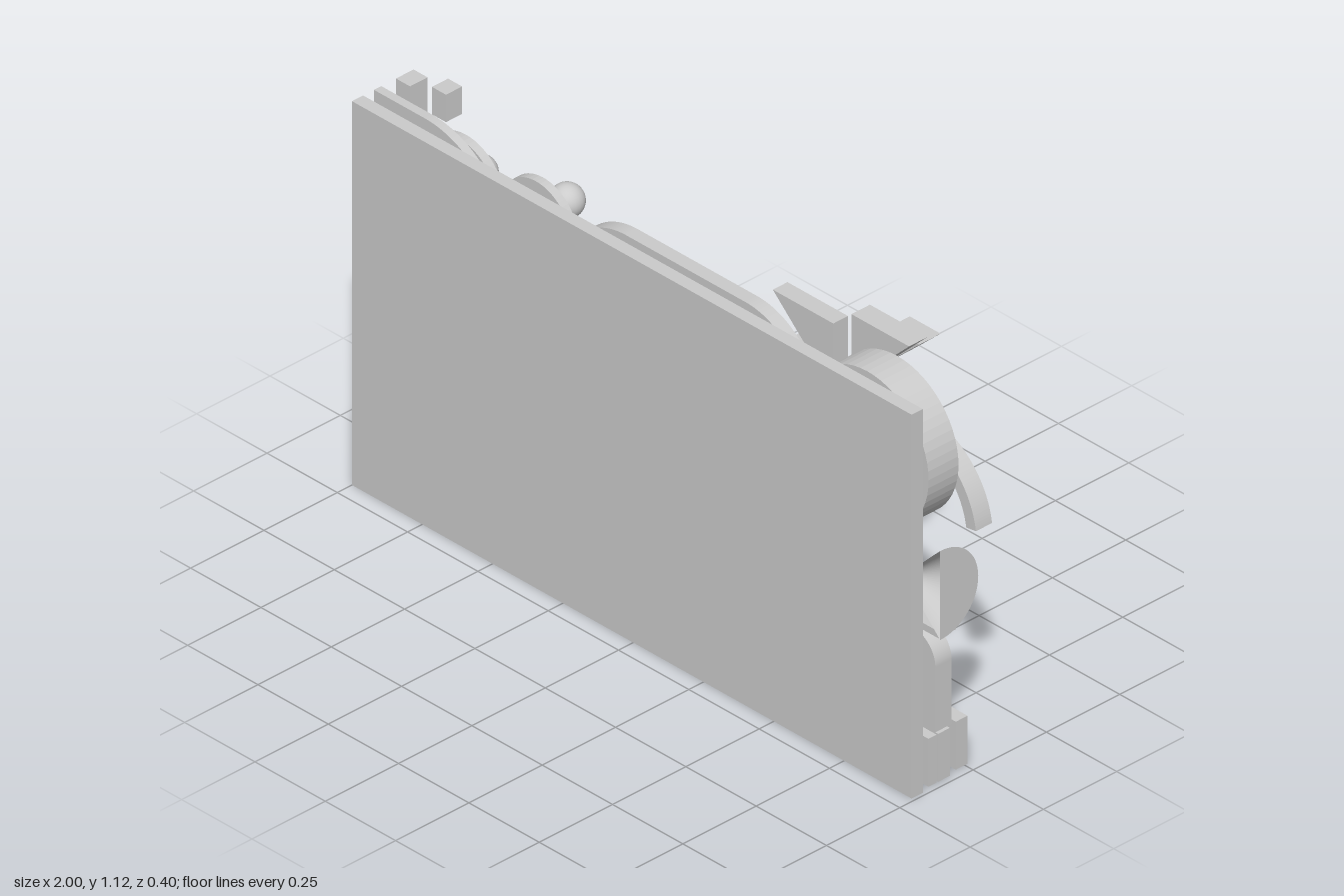
import * as THREE from 'three';

const material = new THREE.MeshStandardMaterial({ color: 0xcccccc, side: THREE.DoubleSide });

export function createModel() {
  const group = new THREE.Group();

  const add = (name, geometry, x = 0, y = 0, z = 0) => {
    const mesh = new THREE.Mesh(geometry, material);
    mesh.name = name;
    mesh.position.set(x, y, z);
    group.add(mesh);
    return mesh;
  };
  // Flat shape given depth from z0 to z1
  const plate = (name, shape, z0, z1) =>
    add(name, new THREE.ExtrudeGeometry(shape, { depth: z1 - z0, bevelEnabled: false, curveSegments: 28 }), 0, 0, z0);
  const box = (name, x0, x1, y0, y1, z0, z1) =>
    add(name, new THREE.BoxGeometry(x1 - x0, y1 - y0, z1 - z0), (x0 + x1) / 2, (y0 + y1) / 2, (z0 + z1) / 2);
  const ball = (name, x, y, z, r) => add(name, new THREE.SphereGeometry(r, 24, 16), x, y, z);
  const polygon = (...points) => new THREE.Shape(points.map(([x, y]) => new THREE.Vector2(x, y)));
  const circle = (x, y, r) => new THREE.Shape().absarc(x, y, r, 0, Math.PI * 2);
  // Circle cut flat at the ground
  const cutCircle = (x, y, r) => {
    const a = Math.asin(y / r);
    const s = new THREE.Shape().absarc(x, y, r, -a, Math.PI + a);
    s.closePath();
    return s;
  };
  // Rectangle with its own radius at each corner: bottom left, bottom right, top right, top left
  const rounded = (x0, x1, y0, y1, bl, br, tr, tl) => {
    const s = new THREE.Shape();
    const corner = (x, y, r, a) => (r ? s.absarc(x, y, r, a, a + Math.PI / 2) : s.lineTo(x, y));
    s.moveTo(x0, y0 + bl);
    corner(x0 + bl, y0 + bl, bl, Math.PI);
    corner(x1 - br, y0 + br, br, Math.PI * 1.5);
    corner(x1 - tr, y1 - tr, tr, 0);
    corner(x0 + tl, y1 - tl, tl, Math.PI / 2);
    s.closePath();
    return s;
  };
  // Curved band between two radii
  const band = (x, y, r0, r1, a0, a1) => {
    const s = new THREE.Shape().absarc(x, y, r1, a0, a1);
    s.absarc(x, y, r0, a1, a0, true);
    s.closePath();
    return s;
  };

  // Backing panel
  box('backingPanel', -1, 0.99, 0, 1.12, 0.162, 0.2);

  // Long rounded cloud with two hanging curves
  plate('cloud', rounded(-0.31, 0.555, 0.68, 1.12, 0.2, 0.2, 0.22, 0.22), 0.098, 0.138);
  for (const r of [0.16, 0.285])
    plate('hangingCurve', band(0.14, 1.1, r - 0.012, r + 0.012, Math.PI * 1.25, Math.PI * 1.75), 0.065, 0.098);

  // Large disc, arc and triangles
  plate('largeDiscBack', circle(0.772, 0.903, 0.218), 0.098, 0.142);
  plate('largeDiscFront', circle(0.772, 0.903, 0.218), 0.04, 0.098);
  plate('outerArc', band(0.75, 0.655, 0.215, 0.25, 0.14, 1.68), -0.067, -0.012);
  plate('largeTriangle', polygon([0.555, 0.92], [0.76, 1.12], [0.555, 1.12]), -0.075, -0.012);
  plate('smallTriangle', polygon([0.605, 0.97], [0.715, 1.07], [0.605, 1.07]), -0.163, -0.09);
  plate('sideTriangle', polygon([0.555, 0.92], [0.555, 1.12], [0.34, 1.12]), 0, 0.05);

  // Half cone on its side
  const cone = add('halfCone', new THREE.ConeGeometry(0.13, 0.13, 32, 1, false, Math.PI / 2, Math.PI), 0.92, 0.545, 0.098);
  cone.rotation.z = Math.PI / 2;

  // Round target with a ball
  plate('targetDisc', circle(0.72, 0.575, 0.11), 0.06, 0.09);
  const ring = circle(0.72, 0.58, 0.075);
  ring.holes.push(circle(0.72, 0.58, 0.045));
  plate('targetRing', ring, 0.025, 0.06);
  ball('targetBall', 0.735, 0.59, 0, 0.03);

  // Pillar with blocks beside it
  box('pillar', 0.37, 0.48, 0.41, 0.98, -0.03, 0.08);
  box('pillarBlock', 0.48, 0.63, 0.47, 0.66, 0.02, 0.09);
  box('shelf', 0.6, 0.97, 0.41, 0.43, 0.03, 0.09);
  box('pillarPlate', 0.18, 0.31, 0, 0.6, 0.065, 0.09);

  // Split hill: a tall quarter in one layer, a short quarter in front
  const tall = new THREE.Shape().moveTo(0.12, 0);
  tall.lineTo(0.12, 0.685);
  tall.absarc(0.12, 0.255, 0.43, Math.PI / 2, Math.PI);
  tall.lineTo(-0.31, 0);
  tall.closePath();
  plate('tallQuarterHill', tall, -0.012, 0.018);
  const cut = Math.asin(0.155 / 0.43);
  const short = new THREE.Shape().moveTo(0.12, 0.41);
  short.absarc(0.12, 0.255, 0.43, cut, Math.PI / 2);
  short.closePath();
  plate('shortQuarterHill', short, -0.055, -0.015);
  plate('frontHill', rounded(-0.31, 0.12, 0, 0.41, 0, 0, 0.21, 0.21), -0.07, -0.025);
  plate('roundHill', cutCircle(0.47, 0.18, 0.23), -0.01, 0.045);

  // Low bar with rounded ends, cut at the ground
  const low = Math.asin(0.4);
  const bar = new THREE.Shape().absarc(0.315, 0.04, 0.1, -low, Math.PI / 2);
  bar.absarc(-0.05, 0.04, 0.1, Math.PI / 2, Math.PI + low);
  bar.closePath();
  plate('lowBar', bar, -0.135, -0.09);

  // Arch, low block and bushes
  plate('arch', rounded(0.81, 0.97, 0.14, 0.41, 0, 0, 0.08, 0.08), 0.045, 0.1);
  plate('lowBlock', rounded(0.82, 0.97, 0, 0.14, 0, 0, 0, 0.08), -0.01, 0.03);
  box('basePlinth', 0.2, 0.98, 0, 0.14, 0.06, 0.1);
  box('baseBack', 0.2, 0.98, 0, 0.14, 0.105, 0.133);
  for (const x of [0.74, 0.57]) plate('bush', cutCircle(x, 0.01, 0.1), -0.045, -0.012);

  // Row of ground domes
  for (const [x, z] of [[0.283, -0.145], [0.47, -0.085], [0.58, -0.06], [0.715, -0.105], [0.81, -0.06]]) {
    add('dome', new THREE.SphereGeometry(0.055, 24, 10, 0, Math.PI * 2, 0, Math.PI / 2), x, 0, z);
    const base = add('domeBase', new THREE.CircleGeometry(0.055, 24), x, 0, z);
    base.rotation.x = Math.PI / 2;
  }

  // Long band with a row of balls
  plate('longBand', rounded(-0.77, 0.16, 0.6, 0.81, 0, 0.1, 0.1, 0.05), 0.065, 0.09);
  for (let i = 0; i < 4; i++) ball('rowBall', -0.05 - 0.2 * i, 0.62, 0.08, 0.065);

  // Wide round-ended plate with an oval and balls
  plate('widePlate', rounded(-0.77, 0.15, 0, 0.56, 0.28, 0, 0, 0.28), 0.055, 0.09);
  plate('oval', rounded(-0.63, -0.15, 0.14, 0.43, 0.145, 0.145, 0.145, 0.145), 0.045, 0.055);
  ball('ovalBall', -0.43, 0.285, 0.02, 0.065);
  for (const [x, y] of [[-0.525, 0.35], [-0.6, 0.285], [-0.54, 0.22]]) ball('ovalSmallBall', x, y, 0, 0.03);

  // Paired discs with balls
  plate('backDisc', circle(-0.45, 0.97, 0.125), 0.075, 0.1);
  plate('frontDisc', circle(-0.49, 0.905, 0.12), 0.03, 0.055);
  ball('discBall', -0.465, 0.98, -0.02, 0.047);
  plate('cornerPlate', rounded(-1, -0.54, 0.8, 1.12, 0, 0, 0.28, 0), 0.1, 0.125);
  plate('sideBackDisc', circle(-0.74, 0.94, 0.14), 0.06, 0.085);
  plate('sideFrontDisc', circle(-0.785, 0.9, 0.115), 0.02, 0.04);
  ball('sideDiscBall', -0.79, 0.906, -0.035, 0.047);

  // Edge post and hanging blocks
  box('edgePost', -1, -0.95, 0.69, 1.12, -0.01, 0.05);
  box('postBlock', -0.945, -0.895, 1.01, 1.09, -0.075, -0.02);
  ball('postBall', -0.92, 0.745, 0.03, 0.022);
  box('hangingBlock', -0.82, -0.76, 0.48, 0.67, 0, 0.05);
  box('hangingBlock', -0.92, -0.85, 0.45, 0.68, -0.01, 0.05);
  box('hangingBlock', -1, -0.96, 0.45, 0.62, 0.01, 0.06);

  // Round-bottomed plate with balls, above the corner strip
  plate('cupPlate', rounded(-1, -0.81, 0.16, 0.41, 0.09, 0.09, 0, 0), 0.045, 0.075);
  ball('cupBall', -0.9, 0.335, 0.025, 0.05);
  for (const [x, y] of [[-0.85, 0.26], [-0.96, 0.25], [-0.9, 0.2]]) ball('cupSmallBall', x, y, 0.02, 0.023);
  box('cornerStrip', -1, -0.535, 0, 0.14, 0.103, 0.133);

  return group;
}
